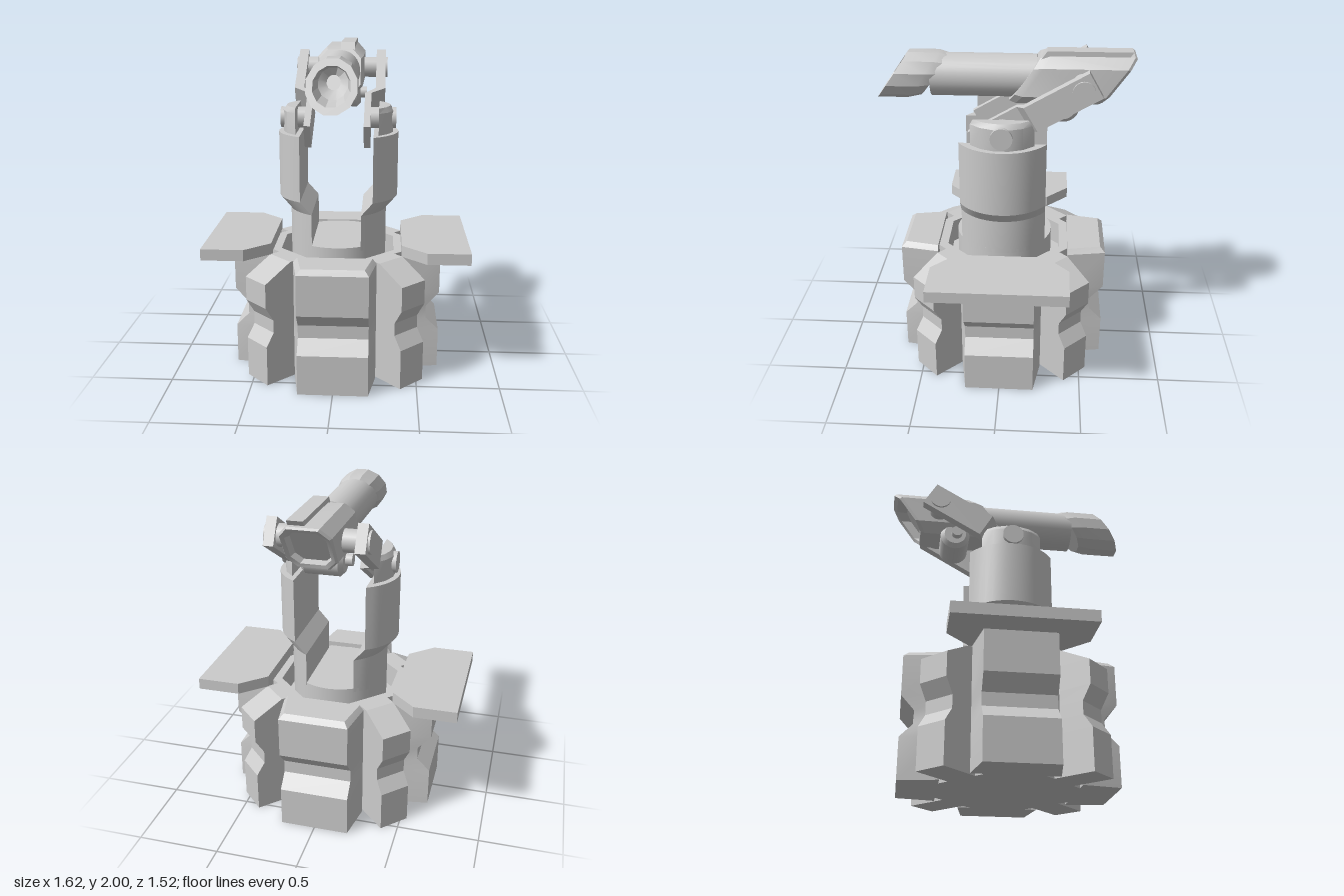
import * as THREE from 'three';
import { toCreasedNormals } from 'three/addons/utils/BufferGeometryUtils.js';

const material = new THREE.MeshStandardMaterial({ color: 0xcccccc });
const GUN_Y = 1.828, SHEAR = 0.7;

// Skin between rings of equal point count (counter-clockwise about the travel direction), capped at both ends
function loft(rings) {
  const pos = [], n = rings[0].length;
  const tri = (a, b, c) => pos.push(...a, ...b, ...c);
  for (let i = 0; i < rings.length - 1; i++) {
    for (let j = 0; j < n; j++) {
      const k = (j + 1) % n, r = rings[i], s = rings[i + 1];
      tri(r[j], r[k], s[k]);
      tri(r[j], s[k], s[j]);
    }
  }
  const first = rings[0], last = rings[rings.length - 1];
  for (let j = 1; j < n - 1; j++) {
    tri(first[0], first[j + 1], first[j]);
    tri(last[0], last[j], last[j + 1]);
  }
  const geometry = new THREE.BufferGeometry();
  geometry.setAttribute('position', new THREE.Float32BufferAttribute(pos, 3));
  return toCreasedNormals(geometry, 0.4);
}

const mirror = rings => rings.map(r => r.map(([x, y, z]) => [-x, y, z]).reverse());

// Circular segment in plan: flat side at x0, bulging outwards
function segment(x0, depth, halfZ, y, n) {
  const r = (halfZ * halfZ + depth * depth) / (2 * depth);
  const a = Math.asin(halfZ / r), cx = x0 + depth - r;
  return Array.from({ length: n + 1 }, (_, i) => {
    const t = a - (2 * a * i) / n;
    return [cx + r * Math.cos(t), y, r * Math.sin(t)];
  });
}

// Upright polygon ring in plan
function plan(n, radius, y, offset) {
  return Array.from({ length: n }, (_, i) => {
    const t = offset + (i / n) * Math.PI * 2;
    return [radius * Math.sin(t), y, radius * Math.cos(t)];
  });
}

// Ring across the gun axis, leaning back towards the top
const lean = (points, z) => points.map(([x, y]) => [x, GUN_Y + y, z - SHEAR * y]);
const circle = (n, r) => Array.from({ length: n }, (_, i) => {
  const t = ((i + 0.5) / n) * Math.PI * 2;
  return [r * Math.cos(t), r * Math.sin(t)];
});
const octagon = s => [[0.145, -0.085], [0.145, 0.085], [0.09, 0.143], [-0.09, 0.143],
  [-0.145, 0.085], [-0.145, -0.085], [-0.09, -0.143], [0.09, -0.143]].map(([x, y]) => [x * s, y * s]);

export function createModel() {
  const model = new THREE.Group();
  const add = (name, geometry, parent = model) => {
    const mesh = new THREE.Mesh(geometry, material);
    mesh.name = name;
    parent.add(mesh);
    return mesh;
  };
  const pair = (name, rings) => {
    add(name + 'Left', loft(rings));
    add(name + 'Right', loft(mirror(rings)));
  };
  const crossPin = (name, radius, x0, x1, y, z) => {
    for (const side of [1, -1]) {
      const pin = add(name, new THREE.CylinderGeometry(radius, radius, x1 - x0, 20));
      pin.rotation.z = Math.PI / 2;
      pin.position.set(side * (x0 + x1) / 2, y, z);
    }
  };

  // Octagonal core with a sunken well
  const e = Math.PI / 8;
  add('baseCore', loft([plan(8, 0.44, 0, e), plan(8, 0.44, 0.75, e),
    plan(8, 0.38, 0.75, e), plan(8, 0.38, 0.6, e)]));

  // Waisted blocks around the base: four wide, four narrow on the diagonals
  const block = (profile, wOut, wIn, zIn) => loft(profile.map(([z, y, inset = 0]) => [
    [wOut - inset, y, z], [wIn - inset, y, zIn], [inset - wIn, y, zIn], [inset - wOut, y, z]]));
  const wide = block([[0.64, 0], [0.64, 0.25], [0.56, 0.33], [0.56, 0.41], [0.64, 0.5],
    [0.64, 0.75], [0.61, 0.78, 0.025]], 0.21, 0.25, 0.405);
  const narrow = block([[0.665, 0], [0.665, 0.25], [0.61, 0.33], [0.61, 0.41], [0.665, 0.5],
    [0.665, 0.65], [0.475, 0.75]], 0.098, 0.098, 0.38);
  for (let i = 0; i < 4; i++) {
    add('wideBaseBlock', wide).rotation.y = i * Math.PI / 2;
    add('narrowBaseBlock', narrow).rotation.y = (i + 0.5) * Math.PI / 2;
  }

  // Side platforms
  const deck = [[0.4, 0.27], [0.55, 0.41], [0.81, 0.41], [0.81, -0.41], [0.55, -0.41], [0.4, -0.27]];
  pair('sidePlatform', [0.75, 0.82].map(y => deck.map(([x, z]) => [x, y, z])));

  // Turntable and fork arms
  add('turntable', new THREE.CylinderGeometry(0.3, 0.3, 0.25, 40)).position.y = 0.68;
  pair('forkArm', [[0.15, 0.78], [0.15, 1], [0.22, 1.08], [0.22, 1.48]]
    .map(([x, y]) => segment(x, 0.15, 0.26, y, 14)));
  pair('armLug', [segment(0.25, 0.09, 0.187, 1.46, 5), segment(0.25, 0.09, 0.187, 1.61, 5),
    segment(0.25, 0.07, 0.17, 1.64, 5)]);
  crossPin('lowerPin', 0.065, 0.18, 0.355, 1.56, 0);

  // Joggled links sloping up from the arms to the gun
  const c = Math.cos(Math.PI / 6), s = 0.5;
  pair('link', [[-0.19, 0.16, 0.2], [0.14, 0.16, 0.2], [0.19, 0.225, 0.285], [0.61, 0.225, 0.285]]
    .map(([d, x0, x1]) => [[x0, -1], [x0, 1], [x1, 1], [x1, -1]].map(([x, p]) => [
      x, 1.56 + s * d + c * p * 0.083, -c * d + s * p * 0.083])));
  crossPin('upperPin', 0.065, 0.12, 0.298, 1.825, -0.46);

  // Gun housing: raked octagonal prism, open recess at the rear and bevelled front
  add('gunHousing', loft([[0.72, -0.6], [0.78, -0.66], [0.93, -0.67], [1, -0.65], [1, -0.17], [0.9, -0.12]]
    .map(([k, z]) => lean(octagon(k), z))));
  add('topRail', loft([[-0.62], [-0.13]].map(([z]) =>
    lean([[0.09, 0.12], [0.09, 0.172], [0, 0.172], [0, 0.12]], z))));

  // Barrel and raked, hollow muzzle
  const barrel = add('barrel', new THREE.CylinderGeometry(0.127, 0.127, 0.62, 32));
  barrel.rotation.x = Math.PI / 2;
  barrel.position.set(0, GUN_Y, 0.12);
  add('muzzle', loft([[0.125, 0.41], [0.143, 0.48], [0.143, 0.66], [0.105, 0.66], [0.085, 0.52], [0.04, 0.47]]
    .map(([r, z]) => lean(circle(12, r), z))));

  // Drum under the housing
  const drum = add('underDrum', new THREE.CylinderGeometry(0.095, 0.095, 0.2, 24));
  drum.rotation.z = Math.PI / 2;
  drum.position.set(0, 1.673, -0.35);
  for (const side of [1, -1]) {
    const cap = add('drumCap', new THREE.CylinderGeometry(0.095, 0.07, 0.025, 24));
    cap.rotation.z = side * Math.PI / 2;
    cap.position.set(side * 0.1125, 1.673, -0.35);
  }
  crossPin('drumAxle', 0.035, 0.1, 0.165, 1.673, -0.34);

  return model;
}
